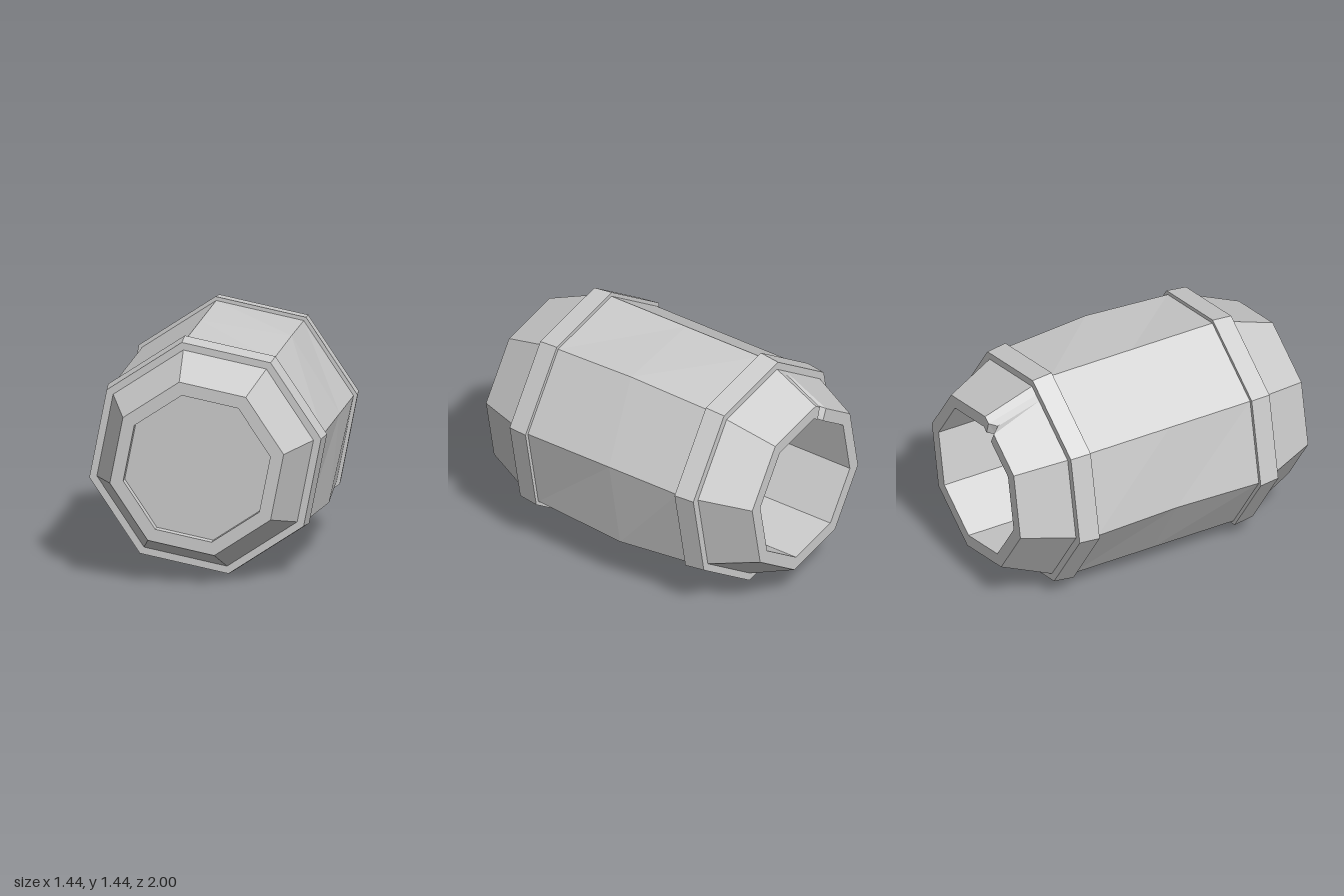
import * as THREE from 'three';

const SIDES = 8, TURN = THREE.MathUtils.degToRad(11.4), CENTRE_Y = 0.72;
const material = new THREE.MeshStandardMaterial({ color: 0xcccccc, flatShading: true });

// One octagonal cross-section; r and z may be functions of the corner index
function ring(r, z) {
  const at = (v, k) => (typeof v === 'function' ? v(k) : v);
  return Array.from({ length: SIDES }, (_, k) => {
    const a = TURN + (k / SIDES) * Math.PI * 2;
    return new THREE.Vector3(at(r, k) * Math.cos(a), at(r, k) * Math.sin(a), at(z, k));
  });
}

// Insert three points on the upper left edge; the middle one is pushed in to form a chip
function withChip(points, depth = 0) {
  const chip = [0.12, 0.2, 0.3].map((t) => points[2].clone().lerp(points[3], t));
  chip[1].z += depth;
  return [...points.slice(0, 3), ...chip, ...points.slice(3)];
}

// Skin a list of rings that run from front to back on the outside
function loft(name, rings) {
  const pos = [];
  const n = rings[0].length;
  for (let i = 0; i < rings.length - 1; i++) {
    for (let j = 0; j < n; j++) {
      const k = (j + 1) % n;
      const a = rings[i][j], b = rings[i][k], c = rings[i + 1][k], d = rings[i + 1][j];
      for (const p of [a, d, c, a, c, b]) pos.push(p.x, p.y, p.z);
    }
  }
  const geo = new THREE.BufferGeometry();
  geo.setAttribute('position', new THREE.Float32BufferAttribute(pos, 3));
  geo.computeVertexNormals();
  const mesh = new THREE.Mesh(geo, material);
  mesh.name = name;
  return mesh;
}

export function createModel() {
  const group = new THREE.Group();
  group.name = 'barrel';

  // Staves: outer skin with an uneven middle, chipped back rim and straight hollow inside
  const midRadius = [0.71, 0.743, 0.71, 0.71, 0.692, 0.71, 0.71, 0.752];
  const midZ = [-0.05, 0, 0, 0, 0, 0, 0, -0.08];
  group.add(loft('staves', [
    withChip(ring(0.457, 0.92)),
    withChip(ring(0.457, 1)),
    withChip(ring(0.54, 1)),
    withChip(ring(0.673, 0.69)),
    withChip(ring(0.71, 0.56)),
    withChip(ring((k) => midRadius[k], (k) => midZ[k])),
    withChip(ring(0.71, -0.56)),
    withChip(ring(0.673, -0.69)),
    withChip(ring(0.54, -1), 0.05),
    withChip(ring(0.457, -1), 0.05),
    withChip(ring(0.457, 0.92)),
  ]));

  // Hoops, slightly tapered towards the ends
  const hoop = [[0.66, 0.69], [0.72, 0.69], [0.735, 0.56], [0.7, 0.56]];
  group.add(loft('frontHoop', hoop.map(([r, z]) => ring(r, z))));
  group.add(loft('backHoop', hoop.map(([r, z]) => ring(r, -z)).reverse()));

  // Lid set just inside the front rim
  const lidShape = new THREE.Shape(ring(0.457, 0).map((p) => new THREE.Vector2(p.x, p.y)));
  const lid = new THREE.Mesh(
    new THREE.ExtrudeGeometry(lidShape, { depth: 0.03, bevelEnabled: false }), material);
  lid.name = 'lid';
  lid.position.z = 0.91;
  group.add(lid);

  group.position.y = CENTRE_Y;
  const model = new THREE.Group();
  model.add(group);
  return model;
}
